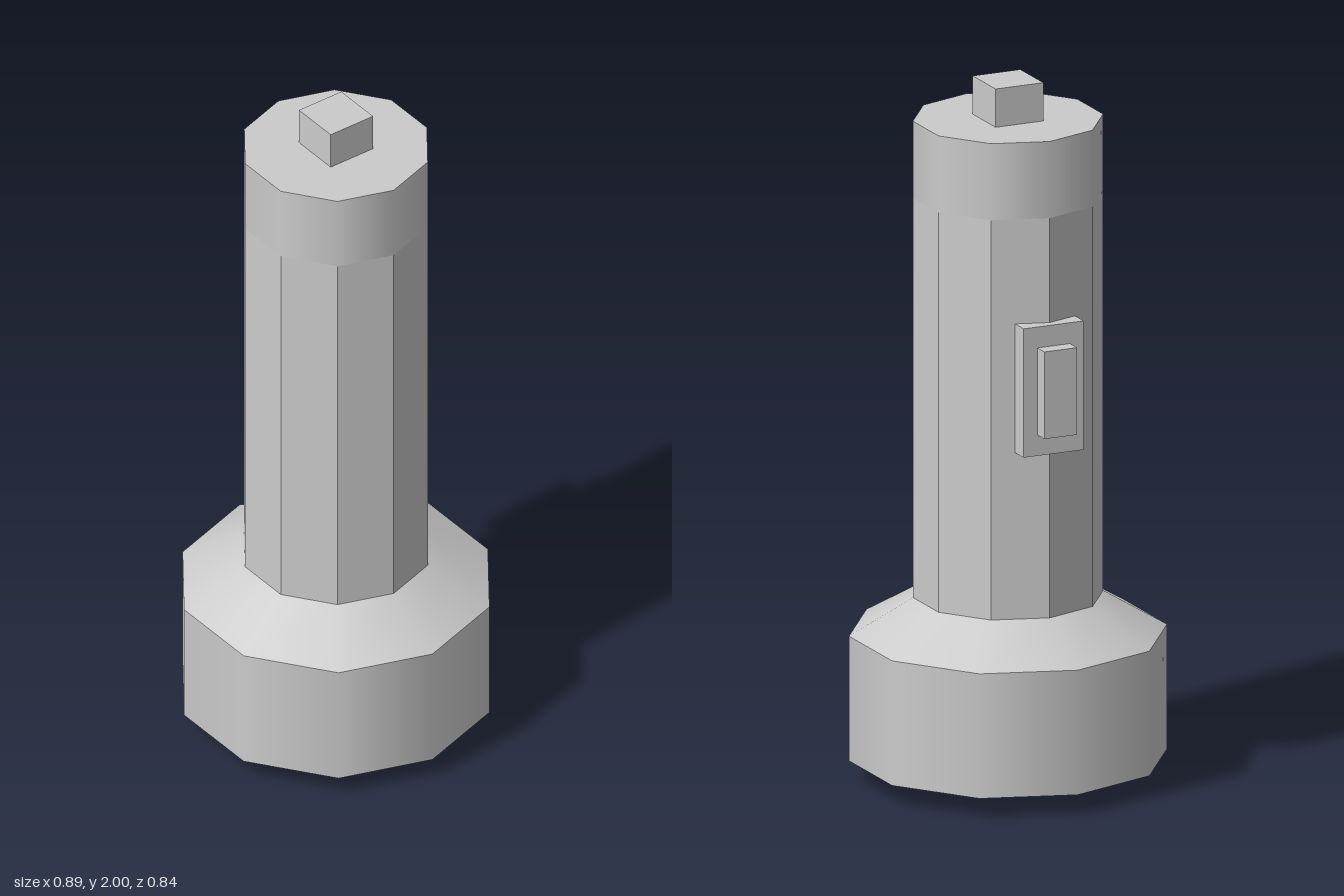
import * as THREE from 'three';

const SIDES = 10;
const BODY_R = 0.265;
const HEAD_R = 0.443;

export function createModel() {
  const torch = new THREE.Group();
  torch.name = 'flashlight';
  const smooth = new THREE.MeshStandardMaterial({ color: 0xcccccc });
  const flat = new THREE.MeshStandardMaterial({ color: 0xcccccc, flatShading: true });

  // Ten-sided section between two heights, with a corner on the x axis
  function section(name, rBottom, rTop, y0, y1, material, open = false) {
    const geometry = new THREE.CylinderGeometry(rTop, rBottom, y1 - y0, SIDES, 1, open, Math.PI / 2);
    const mesh = new THREE.Mesh(geometry, material);
    mesh.name = name;
    mesh.position.y = (y0 + y1) / 2;
    torch.add(mesh);
  }

  // Box given by its limits on each axis
  function box(name, [x0, x1], [y0, y1], [z0, z1]) {
    const mesh = new THREE.Mesh(new THREE.BoxGeometry(x1 - x0, y1 - y0, z1 - z0), flat);
    mesh.name = name;
    mesh.position.set((x0 + x1) / 2, (y0 + y1) / 2, (z0 + z1) / 2);
    torch.add(mesh);
  }

  // Lamp head, resting on the tip of its lens
  section('lens', 0, 0.3, 0, 0.06, smooth, true);
  section('head', HEAD_R, HEAD_R, 0.06, 0.418, smooth);
  section('headShoulder', HEAD_R, BODY_R, 0.418, 0.522, smooth, true);

  // Faceted grip and smooth end cap
  section('grip', BODY_R, BODY_R, 0.522, 1.67, flat, true);
  section('endCap', BODY_R, BODY_R, 1.67, 1.89, smooth);
  box('endButton', [-0.073, 0.073], [1.89, 2], [-0.073, 0.073]);

  // Slide switch on the right side of the grip
  box('switchPlate', [-0.29, -0.225], [1.0, 1.37], [-0.092, 0.092]);
  box('switchSlider', [-0.335, -0.29], [1.06, 1.31], [-0.05, 0.05]);

  return torch;
}
